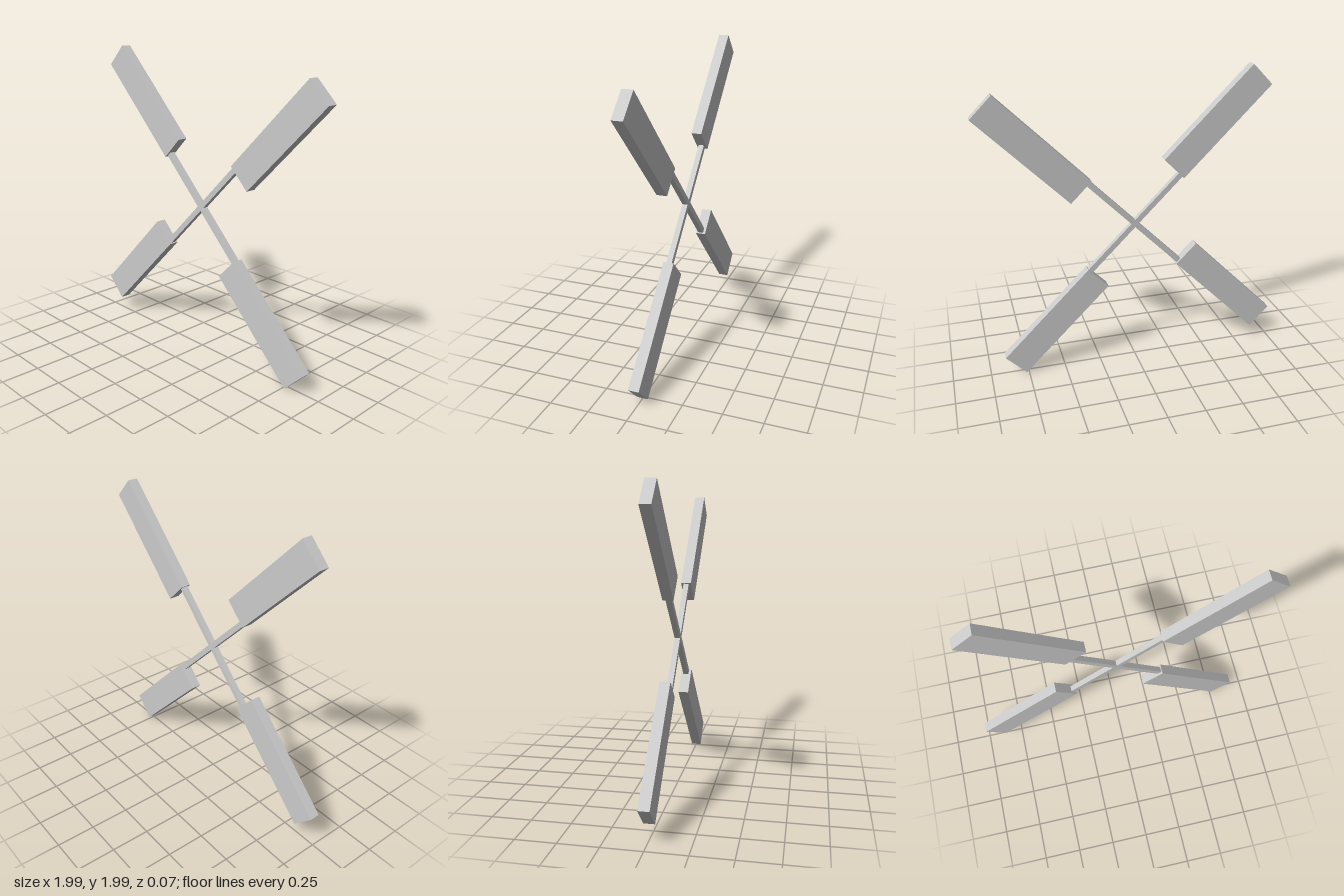
import * as THREE from 'three';

// Four-armed sail wheel: two crossed square bars, each arm carrying an offset board
export function createModel() {
  const group = new THREE.Group();
  group.name = 'sailWheel';
  const material = new THREE.MeshStandardMaterial({ color: 0xcccccc, flatShading: true });

  const addBox = (parent, name, w, h, d, x, y) => {
    const mesh = new THREE.Mesh(new THREE.BoxGeometry(w, h, d), material);
    mesh.name = name;
    mesh.position.set(x, y, 0);
    parent.add(mesh);
  };

  // Dimensions measured along an arm (x) and across it (y)
  const inner = 0.432, outer = 1.246, low = -0.164, high = 0.026;

  const wheel = new THREE.Group();
  wheel.name = 'wheel';
  wheel.position.y = 1;
  group.add(wheel);

  // Crossed bars, ending just inside the boards
  for (let i = 0; i < 2; i++) {
    const bar = new THREE.Group();
    bar.name = 'crossBar';
    bar.rotation.z = Math.PI / 4 + (i * Math.PI) / 2;
    addBox(bar, 'bar', 2 * inner + 0.04, 0.036, 0.036, 0, 0);
    wheel.add(bar);
  }

  // Boards, each trailing to the same side of its arm
  for (let i = 0; i < 4; i++) {
    const sail = new THREE.Group();
    sail.name = 'sail';
    sail.rotation.z = Math.PI / 4 + (i * Math.PI) / 2;
    addBox(sail, 'board', outer - inner, high - low, 0.068, (inner + outer) / 2, (low + high) / 2);
    wheel.add(sail);
  }
  return group;
}
